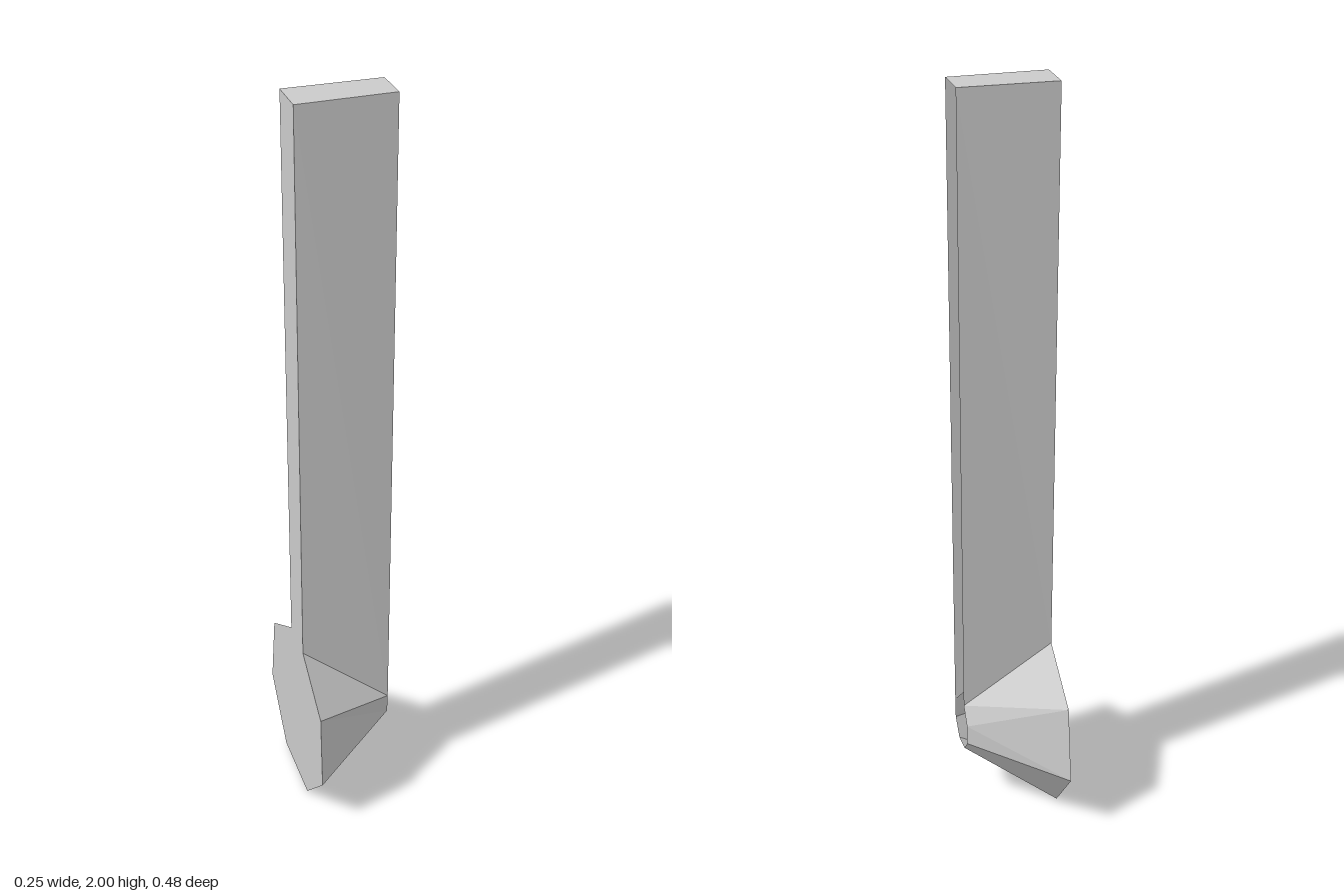
import * as THREE from 'three';

// Matching outlines [x, z, y], running down the front, round the scoop and up the back.
const closedSide = [
  [-0.127, 0.066, 2], [-0.121, 0.07, 0.46], [-0.121, 0.227, 0.35], [-0.121, 0.24, 0.14],
  [-0.121, 0.097, 0], [-0.121, -0.108, 0.01], [-0.121, -0.24, 0.16], [-0.121, -0.208, 0.365],
  [-0.121, -0.037, 0.47], [-0.128, -0.04, 2],
];
const openSide = [
  [0.127, 0.062, 2], [0.12, 0.073, 0.26], [0.12, 0.073, 0.26], [0.12, 0.07, 0.205],
  [0.12, 0.028, 0.165], [0.12, -0.032, 0.17], [0.12, -0.064, 0.205], [0.12, -0.064, 0.26],
  [0.122, -0.037, 0.31], [0.125, -0.037, 2],
];

const material = new THREE.MeshStandardMaterial({
  color: 0xcccccc, flatShading: true, side: THREE.DoubleSide,
});

// Builds one part: wall strips between the outlines, plus a flat cap on the closed side.
function shell(name, walls, cap) {
  const positions = [];
  const triangle = (...corners) => {
    for (const [x, z, y] of corners) positions.push(x, y, z);
  };
  for (const i of walls) {
    const j = (i + 1) % closedSide.length;
    triangle(closedSide[i], closedSide[j], openSide[j]);
    if (i !== 1) triangle(closedSide[i], openSide[j], openSide[i]); // strip 1 ends in a point
  }
  for (let k = 1; k < cap.length - 1; k++) {
    triangle(closedSide[cap[0]], closedSide[cap[k + 1]], closedSide[cap[k]]);
  }
  const geometry = new THREE.BufferGeometry();
  geometry.setAttribute('position', new THREE.Float32BufferAttribute(positions, 3));
  geometry.computeVertexNormals();
  const mesh = new THREE.Mesh(geometry, material);
  mesh.name = name;
  return mesh;
}

export function createModel() {
  const group = new THREE.Group();
  group.name = 'channelWithFlaredEnd';
  // Tall channel, open along +x: front wall, back wall, top and closed edge
  group.add(shell('channel', [0, 8, 9], [0, 1, 8, 9]));
  // Eight-sided flared end, closed at its wide side
  group.add(shell('flaredEnd', [1, 2, 3, 4, 5, 6, 7], [1, 2, 3, 4, 5, 6, 7, 8]));
  return group;
}
